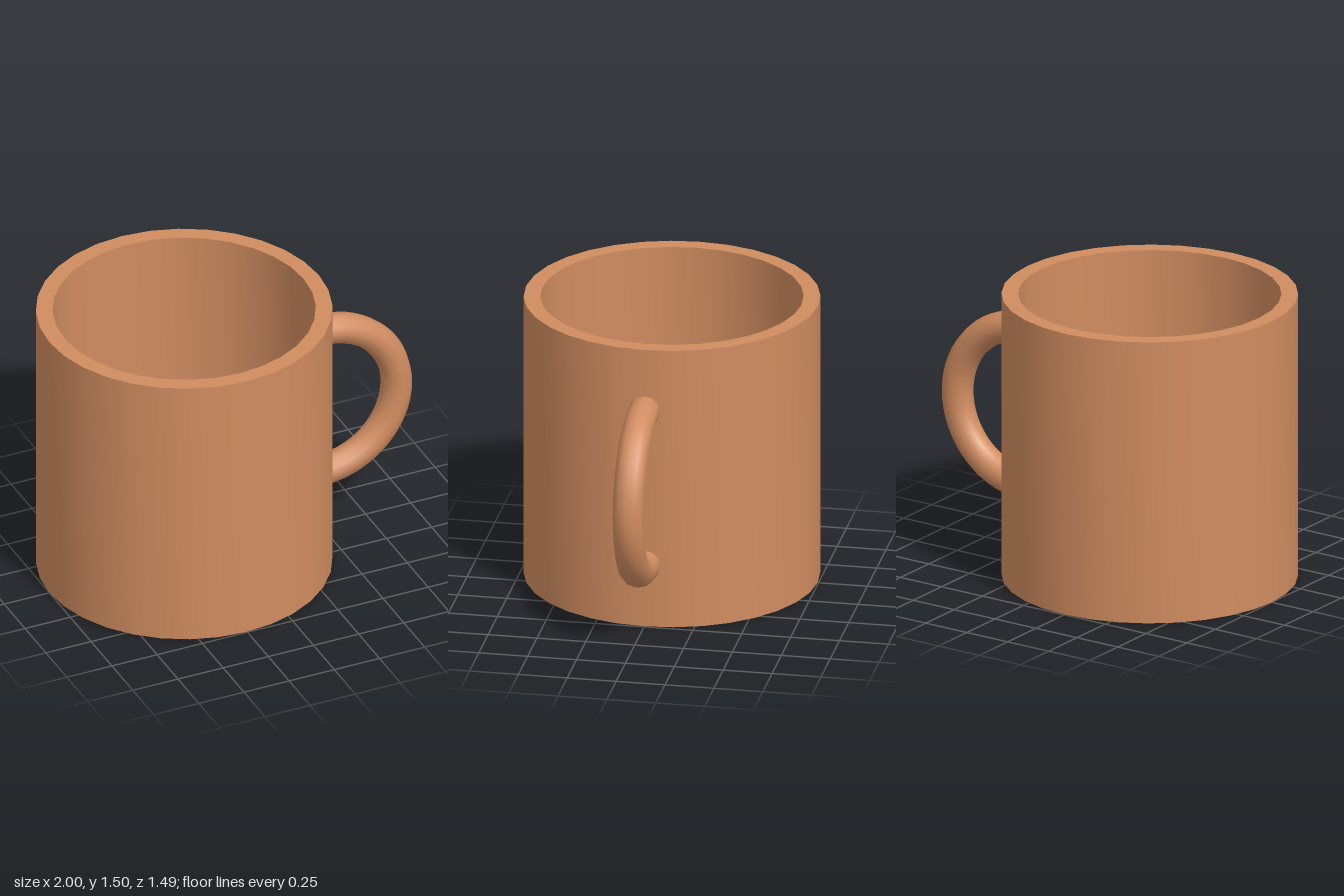
import * as THREE from 'three';
import { toCreasedNormals } from 'three/addons/utils/BufferGeometryUtils.js';

export function createModel() {
  const group = new THREE.Group();
  group.name = 'mug';

  const clay = new THREE.MeshStandardMaterial({ color: 0xd08c60 });
  clay.name = 'terracotta';

  const radius = 0.746, innerRadius = 0.662, height = 1.495, floor = 0.09;
  const bodyX = radius - 1;

  // Hollow body: underside, outer wall, flat rim, inner wall, inside floor
  const profile = [
    [0, 0], [radius, 0], [radius, height],
    [innerRadius, height], [innerRadius, floor], [0, floor],
  ].map(([x, y]) => new THREE.Vector2(x, y));
  const body = new THREE.Mesh(
    toCreasedNormals(new THREE.LatheGeometry(profile, 32), Math.PI / 6), clay);
  body.name = 'body';
  body.position.x = bodyX;
  group.add(body);

  // Round half-ring handle, its ends sunk a little into the wall
  const sink = 0.08;
  const handle = new THREE.Mesh(
    new THREE.TorusGeometry(0.418, 0.08, 12, 32, Math.PI + 2 * sink), clay);
  handle.name = 'handle';
  handle.rotation.z = -Math.PI / 2 - sink;
  handle.position.set(0.502, height / 2, 0);
  group.add(handle);

  return group;
}
